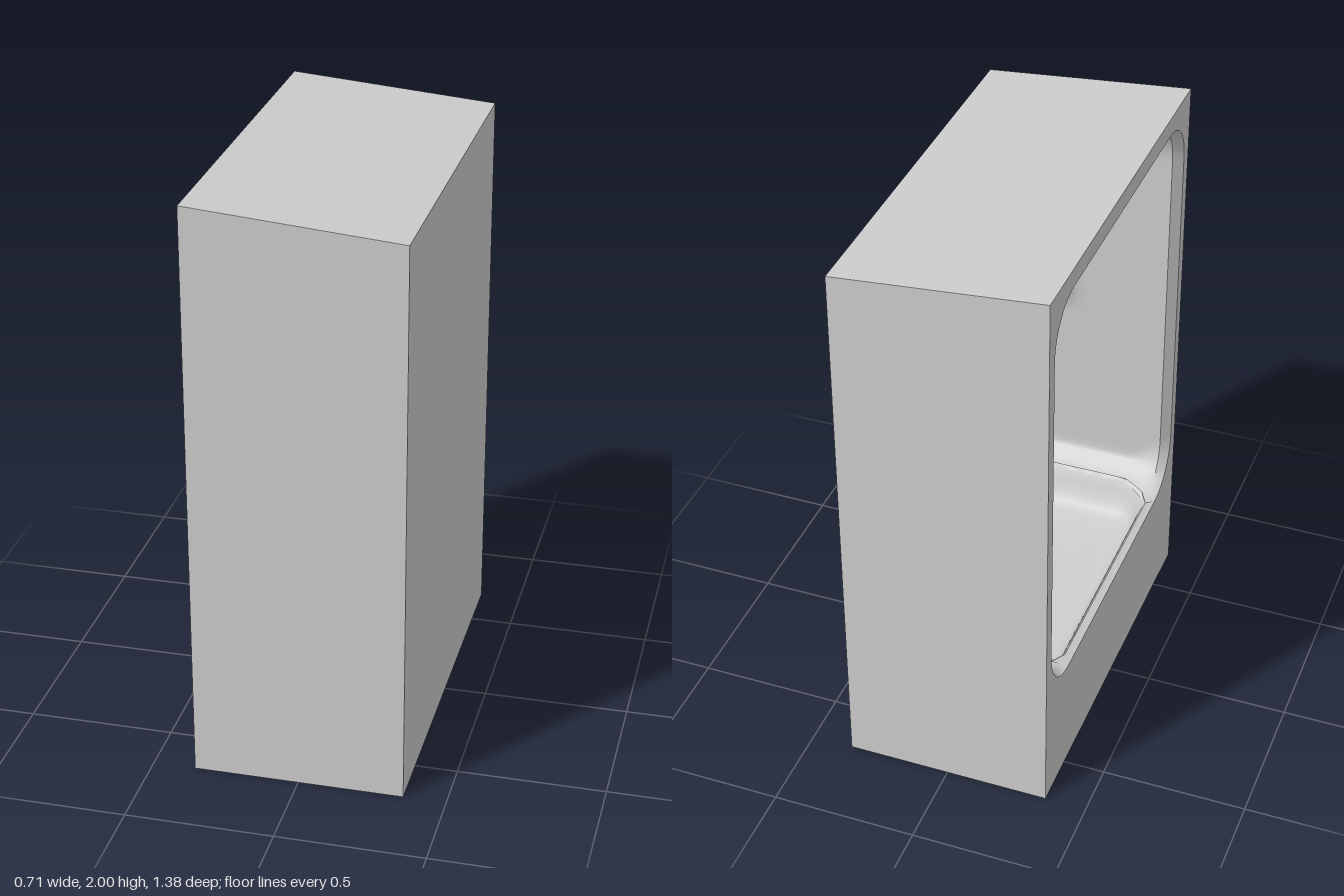
import * as THREE from 'three';
import { toCreasedNormals } from 'three/addons/utils/BufferGeometryUtils.js';

const FRONT = -0.356, BACK = 0.356, HALF = 0.688, TOP = 2, LOW_TOP = 1.938;
const HOLE = 0.642, HOLE_TOP = 1.935, WALL_BACK = 0.3, R = 0.17, LIP = 0.032;
const smooth = THREE.MathUtils.smoothstep;
const mat = () => new THREE.MeshStandardMaterial({ color: 0xcccccc, side: THREE.DoubleSide });

// Wall profile from the ceiling down to the ledge: inset from the opening's side, and height
function wallProfile() {
  const rows = [], steps = 10, high = HOLE_TOP - R, low = 0.6;
  for (let i = 0; i <= steps; i++) {
    const a = (i / steps) * Math.PI / 2;
    rows.push([R * (1 - Math.sin(a)), high + R * Math.cos(a)]);
  }
  for (let i = 1; i < 60; i++) rows.push([0, high + (low - high) * i / 60]);
  for (let i = 0; i <= steps; i++) {
    const a = (i / steps) * Math.PI / 2;
    rows.push([R * (1 - Math.cos(a)), low - 0.18 * Math.sin(a)]);
  }
  return rows;
}

// U-shaped plan, from one front end round the back to the other
function plan(x0, half, back, lip, radius) {
  const h = half - lip, side = [[x0, half], [x0 + 0.03, h]];
  for (let i = 1; i <= 12; i++) side.push([x0 + 0.03 + (back - radius - x0 - 0.03) * i / 12, h]);
  for (let i = 1; i <= 10; i++) {
    const a = (i / 10) * Math.PI / 2;
    side.push([back - radius + radius * Math.sin(a), h - radius + radius * Math.cos(a)]);
  }
  for (let i = 1; i <= 20; i++) side.push([back, (h - radius) * (1 - i / 20)]);
  return [...side, ...side.slice(0, -1).reverse().map(([x, z]) => [x, -z])];
}

// Corner shelves: the corner is pushed out to a diagonal line
function shelf(x, y, z) {
  const w = Math.max(0, y > 1.19 ? 1 - (y - 1.19) / 0.11 : 1 - (1.19 - y) / 0.09);
  const q = 1 - (WALL_BACK - x) / 0.29 - (HOLE - LIP - Math.abs(z)) / 0.3;
  const push = w * Math.max(0, q) * 0.147;
  return [x - push, y, z - Math.sign(z) * push];
}

function alcoveGeometry() {
  const rows = [];
  // Walls with a sloping ceiling; the fillets tighten away from the opening
  for (const [d, y] of wallProfile()) {
    const fillet = 0.08 * smooth(y, 0.42, 0.6) * (1 - smooth(y, 0.6, 0.95));
    rows.push(plan(FRONT, HOLE - d, WALL_BACK - d * 0.45, LIP, 0.13).map(([x, z]) => {
      const inside = smooth(x, FRONT, FRONT + 0.15);
      const drop = 0.084 * (x - FRONT) * smooth(y, 1.3, HOLE_TOP);
      const widen = Math.sign(z) * Math.min(1, Math.abs(z) / 0.3) * d * 0.5 * inside;
      const rise = 0.015 * inside * (1 - smooth(y, 0.42, 0.6));
      return shelf(x, y - drop - fillet * inside + rise, z + widen);
    }));
  }
  // Ceiling drawn forward to the top of the opening
  rows.unshift(rows[0].map(([, , z]) => [FRONT, HOLE_TOP, z]));
  const ledge = rows.length - 1;
  // Basin, narrowed by a bulge in the middle of its back
  const basin = [[0, 0.43], [0.008, 0.42], [0.02, 0.39], [0.035, 0.35], [0.055, 0.32], [0.085, 0.31]];
  for (const [d, y] of basin) {
    rows.push(plan(FRONT + 0.025 + d, 0.43 - d, 0.225 - d, -0.04, 0.1).map(([x, z]) => {
      const bulge = (0.08 + 0.5 * d) * (1 - smooth(Math.abs(z), 0.08, 0.29)) * smooth(x, 0, 0.12);
      const rise = 0.015 * smooth(x, FRONT, FRONT + 0.15) * (1 - d / 0.085);
      return [x - bulge, y + rise, z * (1 + 0.13 * smooth(x, FRONT, FRONT + 0.15))];
    }));
  }
  rows.push(rows[0].map(() => [-0.06, 0.31, 0]));

  const n = rows[0].length, index = [];
  for (let r = 0; r < rows.length - 1; r++) {
    // Below the ledge the rings close along the sill
    const count = r >= ledge ? n : n - 1;
    for (let j = 0; j < count; j++) {
      const k = (j + 1) % n, a = r * n + j, b = r * n + k, c = a + n, d = b + n;
      index.push(a, b, c, b, d, c);
    }
  }
  const g = new THREE.BufferGeometry();
  g.setAttribute('position', new THREE.Float32BufferAttribute(rows.flat(2), 3));
  g.setIndex(index);
  return toCreasedNormals(g, 0.75);
}

// Flat panel in the z-y plane around the opening, facing -x
function panelGeometry() {
  const shape = new THREE.Shape([[-HALF, 0], [HALF, 0], [HALF, TOP], [-HALF, TOP]].map(p => new THREE.Vector2(...p)));
  const wall = wallProfile();
  const right = wall.map(([d, y]) => new THREE.Vector2(HOLE - d, y));
  const left = wall.map(([d, y]) => new THREE.Vector2(d - HOLE, y)).reverse();
  shape.holes.push(new THREE.Path([...right, ...left]));
  return new THREE.ShapeGeometry(shape).rotateY(-Math.PI / 2).translate(FRONT, 0, 0);
}

// Flat four-sided panel, corners anticlockwise from outside
function quad(a, b, c, d) {
  const g = new THREE.BufferGeometry();
  g.setAttribute('position', new THREE.Float32BufferAttribute([a, b, c, a, c, d].flat(), 3));
  g.computeVertexNormals();
  return g;
}

export function createModel() {
  const model = new THREE.Group();
  model.name = 'showerCabin';
  const add = (name, geometry) => {
    const mesh = new THREE.Mesh(geometry, mat());
    mesh.name = name;
    model.add(mesh);
  };

  // Outer casing
  const p = (x, y, z) => [x, y, z];
  const [f, b, h] = [FRONT, BACK, HALF];
  add('endPanelFront', quad(p(f, 0, h), p(b, 0, h), p(b, LOW_TOP, h), p(f, TOP, h)));
  add('endPanelBack', quad(p(b, 0, -h), p(f, 0, -h), p(f, TOP, -h), p(b, LOW_TOP, -h)));
  add('closedSide', quad(p(b, 0, h), p(b, 0, -h), p(b, LOW_TOP, -h), p(b, LOW_TOP, h)));
  add('roof', quad(p(f, TOP, h), p(b, LOW_TOP, h), p(b, LOW_TOP, -h), p(f, TOP, -h)));
  add('base', quad(p(f, 0, -h), p(b, 0, -h), p(b, 0, h), p(f, 0, h)));

  // Open side and the moulded interior
  add('openingPanel', panelGeometry());
  add('alcove', alcoveGeometry());
  return model;
}
